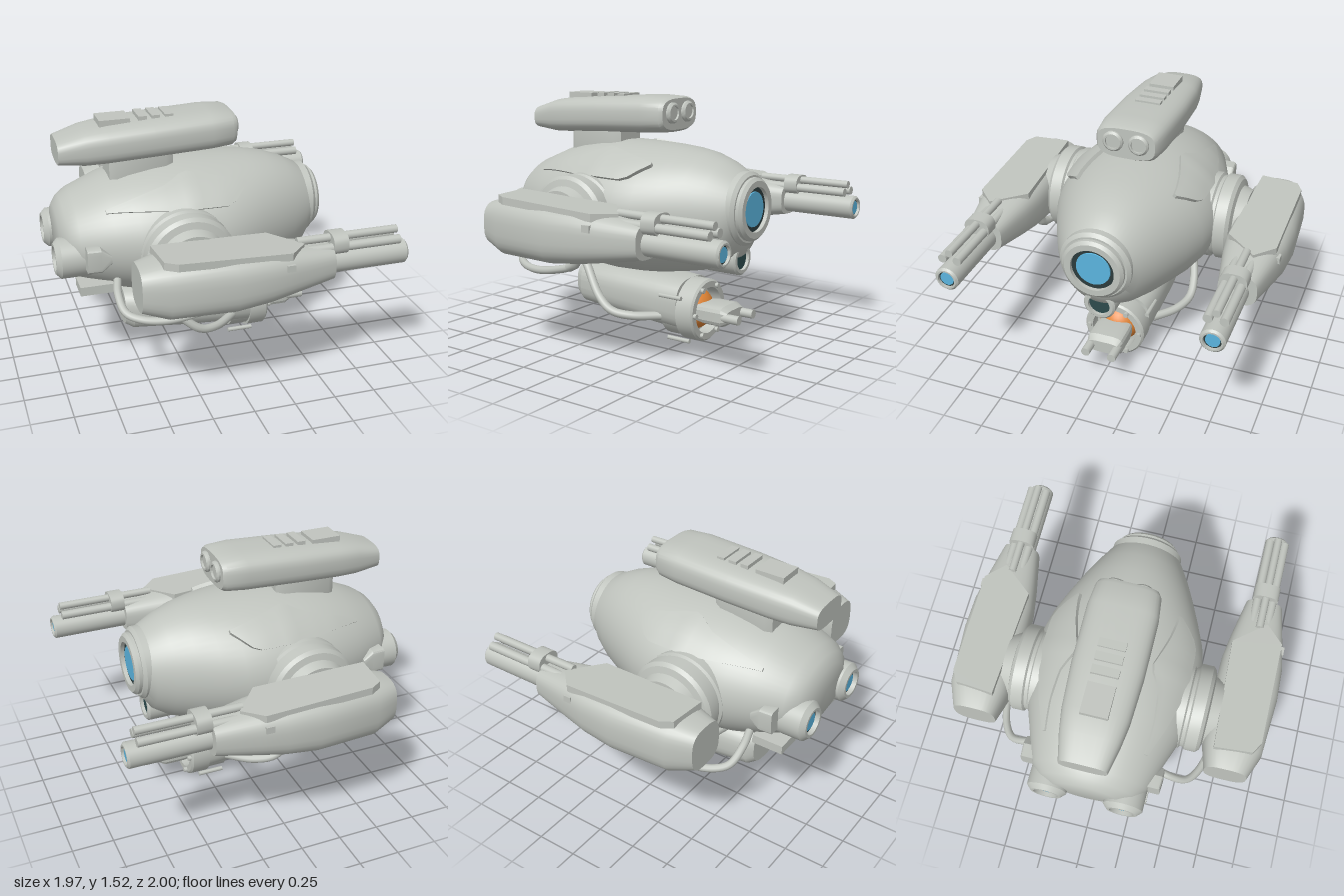
import * as THREE from 'three';
import { toCreasedNormals } from 'three/addons/utils/BufferGeometryUtils.js';

const mat = (name, color) => Object.assign(new THREE.MeshStandardMaterial({ color }), { name });
const { PI, cos, sin, sign, abs, pow } = Math;

// Hull stations: x, top, bottom, half width
const HULL = [
  [-0.94, 1.0, 0.70, 0.20], [-0.9, 1.05, 0.62, 0.29], [-0.84, 1.09, 0.57, 0.35], [-0.65, 1.17, 0.49, 0.42],
  [-0.5, 1.21, 0.455, 0.475], [-0.35, 1.235, 0.435, 0.505], [-0.18, 1.25, 0.425, 0.52], [0, 1.245, 0.43, 0.51],
  [0.12, 1.24, 0.44, 0.48], [0.25, 1.23, 0.46, 0.425], [0.38, 1.21, 0.485, 0.365], [0.5, 1.17, 0.525, 0.305],
  [0.6, 1.12, 0.59, 0.245], [0.66, 1.07, 0.70, 0.20]];

// Linear interpolation in a table whose first column is x
function sample(table, x) {
  let i = 0;
  while (i < table.length - 2 && x > table[i + 1][0]) i++;
  const a = table[i], b = table[i + 1], t = (x - a[0]) / (b[0] - a[0]);
  return a.map((v, k) => v + (b[k] - v) * t);
}

// Skin over closed rings of [x, y, z], with flat end caps
function loft(rings, crease = 0.6) {
  const n = rings[0].length, pos = rings.flat(2), idx = [];
  for (let i = 0; i < rings.length - 1; i++) for (let j = 0; j < n; j++) {
    const a = i * n + j, c = i * n + (j + 1) % n;
    idx.push(a, c, a + n, c, c + n, a + n);
  }
  for (const [ring, flip] of [[rings[0], true], [rings[rings.length - 1], false]]) {
    const base = pos.length / 3;
    pos.push(...ring.flat());
    pos.push(...[0, 1, 2].map(k => ring.reduce((s, p) => s + p[k], 0) / n));
    for (let j = 0; j < n; j++) {
      const a = base + j, b = base + (j + 1) % n;
      idx.push(base + n, flip ? b : a, flip ? a : b);
    }
  }
  const g = new THREE.BufferGeometry();
  g.setAttribute('position', new THREE.Float32BufferAttribute(pos, 3));
  g.setIndex(idx);
  return toCreasedNormals(g, crease);
}

// Superellipse ring: exponent 2 is round, higher is boxier
function ovalRing([x, top, bot, hw, zc = 0], power, n) {
  return Array.from({ length: n }, (_, j) => {
    const a = (j + 0.5) / n * 2 * PI, f = v => sign(v) * pow(abs(v), 2 / power);
    return [x, (top + bot) / 2 + f(cos(a)) * (top - bot) / 2, zc + f(sin(a)) * hw];
  });
}
const pod = (stations, power, n, crease) => loft(stations.map(s => ovalRing(s, power, n)), crease);

// Cylinder and hollow ring lying along x
const cylX = (r0, r1, x0, x1, y, z, seg = 32) =>
  new THREE.CylinderGeometry(r1, r0, x1 - x0, seg).rotateZ(-PI / 2).translate((x0 + x1) / 2, y, z);
function ringX(rin, rout, x0, x1, y, z, bevel = 0.012) {
  const p = [[rin, x0], [rout, x0], [rout, x1 - bevel], [rout - bevel, x1], [rin, x1], [rin, x0]];
  const g = new THREE.LatheGeometry(p.map(q => new THREE.Vector2(...q)), 40);
  return toCreasedNormals(g.rotateZ(-PI / 2), 0.5).translate(0, y, z);
}
const box = (x0, x1, y0, y1, z0, z1) => new THREE.BoxGeometry(x1 - x0, y1 - y0, abs(z1 - z0))
  .translate((x0 + x1) / 2, (y0 + y1) / 2, (z0 + z1) / 2);
const hose = (pts, r) => new THREE.TubeGeometry(
  new THREE.CatmullRomCurve3(pts.map(p => new THREE.Vector3(...p))), 40, r, 10);

// Raised arrow plate that follows the hull; s is the side
function hullPlate(s) {
  // x, upper angle, lower angle, height
  const plan = [[-0.68, 0.8, 0.86, 0.012], [-0.32, 0.6, 0.98, 0.016], [-0.2, 0.43, 1.0, 0.022],
    [0.05, 0.61, 1.01, 0.024], [0.17, 0.70, 0.74, 0.024]];
  const rings = [];
  for (let i = 0; i <= 17; i++) {
    const x = -0.68 + i * 0.05, [, a0, a1, h] = sample(plan, x), [, top, bot, hw] = sample(HULL, x);
    const at = (k, off) => {
      const a = a0 + (a1 - a0) * k / 5;
      return [x, (top + bot) / 2 + cos(a) * ((top - bot) / 2 + off), s * sin(a) * (hw + off)];
    };
    const ring = [];
    for (let k = 0; k <= 5; k++) ring.push(at(k, h));
    for (let k = 5; k >= 0; k--) ring.push(at(k, -0.02));
    rings.push(s > 0 ? ring : ring.reverse());
  }
  return loft(rings, 0.5);
}

export function createModel() {
  const model = new THREE.Group();
  model.name = 'hoveringGunDrone';
  const grey = mat('hullGrey', 0xc0c4be), blue = mat('lensBlue', 0x5ab4de);
  const dark = mat('lensRim', 0x2b3b3c), teal = mat('darkLens', 0x2c4a4c), orange = mat('sensorOrange', 0xe08435);
  const add = (name, g, m = grey) => {
    const mesh = new THREE.Mesh(g, m);
    mesh.name = name;
    model.add(mesh);
    return mesh;
  };

  add('hull', pod(HULL, 2, 56, 0.7));

  // Main eye
  add('eyeOuterRing', ringX(0.13, 0.222, 0.56, 0.672, 0.89, 0, 0.02));
  add('eyeInnerRing', ringX(0.135, 0.19, 0.6, 0.71, 0.89, 0, 0.018));
  add('eyeRim', cylX(0.14, 0.14, 0.6, 0.685, 0.89, 0), dark);
  add('eyeLens', cylX(0.112, 0.105, 0.66, 0.692, 0.89, 0), blue);
  // Small lower eye
  add('lowerEyeRing', ringX(0.068, 0.1, 0.4, 0.62, 0.58, 0));
  add('lowerEyeLens', cylX(0.07, 0.07, 0.45, 0.6, 0.58, 0), teal);

  // Upper launcher pod
  add('launcherPedestal', pod([[-0.61, 1.33, 1.12, 0.1], [-0.57, 1.34, 1.12, 0.125],
    [-0.27, 1.35, 1.12, 0.125], [-0.22, 1.35, 1.12, 0.1]], 6, 24));
  add('launcherPod', pod([[-0.91, 1.43, 1.285, 0.14], [-0.75, 1.48, 1.27, 0.175], [-0.62, 1.498, 1.275, 0.195],
    [-0.35, 1.517, 1.29, 0.21], [0, 1.535, 1.305, 0.21], [0.13, 1.53, 1.315, 0.195], [0.155, 1.52, 1.33, 0.18]], 3.2, 32, 0.5));
  add('launcherVentPlate', box(-0.655, -0.47, 1.49, 1.53, -0.08, 0.08));
  for (const x of [-0.42, -0.34, -0.26]) add('launcherSlat', box(x, x + 0.05, 1.49, 1.535, -0.08, 0.08));

  // Lower turret pod
  add('turretPod', pod([[-0.55, 0.42, 0.18, 0.15], [-0.5, 0.43, 0.15, 0.18], [-0.2, 0.43, 0.125, 0.2],
    [0.1, 0.425, 0.1, 0.2], [0.26, 0.415, 0.085, 0.19]], 2.8, 32, 0.5));
  add('turretCollar', cylX(0.18, 0.18, 0.14, 0.3, 0.22, 0));
  add('turretRing', ringX(0.145, 0.195, 0.26, 0.38, 0.22, 0));
  add('turretSensor', new THREE.SphereGeometry(0.135, 32, 20).translate(0.26, 0.22, 0), orange);
  for (let i = 0; i < 6; i++) {
    const a = (i + 0.5) / 6 * 2 * PI;
    add('ringClip', cylX(0.016, 0.016, 0.34, 0.4, 0.22 + cos(a) * 0.165, sin(a) * 0.165, 10));
  }
  for (const a of [PI / 2 - 0.5, PI * 0.86, PI * 1.14, PI * 1.5 + 0.5]) {
    add('ringBar', cylX(0.014, 0.014, 0.14, 0.3, 0.22 + cos(a) * 0.215, sin(a) * 0.215, 8));
  }
  add('turretGunBlock', pod([[0.3, 0.27, 0.17, 0.1], [0.4, 0.285, 0.155, 0.115],
    [0.53, 0.285, 0.155, 0.115], [0.57, 0.26, 0.18, 0.1]], 4, 16, 0.4));

  for (const s of [1, -1]) {
    add('hullPlate', hullPlate(s));
    add('launcherTube', ringX(0.042, 0.064, 0.1, 0.178, 1.435, s * 0.08));
    add('launcherTubeCore', cylX(0.045, 0.045, 0.1, 0.165, 1.435, s * 0.08));
    add('turretBarrel', cylX(0.028, 0.028, 0.5, 0.65, 0.22, s * 0.085, 16));

    // Rear lamps and side details
    add('rearLampHousing', ringX(0.075, 0.122, 0, 0.22, 0, 0, 0.03).rotateY(PI).translate(-0.765, 0.77, s * 0.235));
    add('rearLampRim', cylX(0.08, 0.08, -0.955, -0.8, 0.77, s * 0.235), dark);
    add('rearLampLens', cylX(0.058, 0.058, -0.962, -0.9, 0.77, s * 0.235), blue);
    add('sideBlock', pod([[-0.82, 0.88, 0.73, 0.05, s * 0.38], [-0.74, 0.88, 0.73, 0.05, s * 0.385],
      [-0.68, 0.83, 0.78, 0.035, s * 0.395]], 6, 16, 0.4));
    add('rearLowerFin', box(-0.86, -0.66, 0.565, 0.62, s * 0.2, s * 0.36));

    // Shoulder joint, turned to lie along z
    const joint = [[0.27, 0.3], [0.27, 0.47], [0.255, 0.48], [0.255, 0.5], [0.27, 0.51], [0.27, 0.58],
      [0.25, 0.6], [0.21, 0.61], [0.19, 0.67], [0, 0.67]].map(p => new THREE.Vector2(...p));
    add('shoulderJoint', toCreasedNormals(new THREE.LatheGeometry(joint, 48).rotateX(s * PI / 2), 0.5)
      .translate(-0.25, 0.81, 0));

    // Arm gun pod
    add('armPod', pod([[-0.62, 0.93, 0.67, 0.13, s * 0.785], [-0.47, 0.97, 0.625, 0.18, s * 0.795],
      [-0.1, 0.97, 0.625, 0.197, s * 0.803], [0.1, 0.965, 0.65, 0.19, s * 0.802],
      [0.25, 0.95, 0.675, 0.165, s * 0.8], [0.5, 0.915, 0.72, 0.115, s * 0.8]], 3, 32, 0.5));
    const outline = [[-0.52, 0.68], [0.17, 0.65], [0.33, 0.84], [0.22, 0.95], [-0.43, 0.95], [-0.5, 0.91]];
    const plate = new THREE.Shape(outline.map(([x, z]) => new THREE.Vector2(x, -s * z)));
    add('armTopPlate', new THREE.ExtrudeGeometry(plate, { depth: 0.045, bevelEnabled: false })
      .rotateX(-PI / 2).rotateZ(-0.04).translate(0, 0.925, 0));
    add('armSideLatch', box(0.18, 0.23, 0.86, 0.9, s * 0.92, s * 0.975));

    // Barrel cluster
    const z = s * 0.795;
    add('mainBarrel', ringX(0.052, 0.074, 0.4, 0.98, 0.81, z));
    add('barrelRim', cylX(0.055, 0.055, 0.8, 0.962, 0.81, z), dark);
    add('barrelLens', cylX(0.042, 0.042, 0.9, 0.968, 0.81, z), blue);
    for (const [y, dz, r] of [[0.953, 0, 0.024], [0.908, 0.047, 0.027], [0.908, -0.047, 0.027]]) {
      add('upperBarrel', cylX(r, r, 0.3, 0.92, y, z + dz, 16));
    }
    add('barrelCollar', pod([[0.5, 0.985, 0.86, 0.08, z], [0.59, 0.985, 0.86, 0.08, z]], 2.6, 28));

    // Hoses
    add('armHose', hose([[-0.08, 0.63, s * 0.71], [-0.12, 0.575, s * 0.7], [-0.25, 0.53, s * 0.69],
      [-0.42, 0.5, s * 0.67], [-0.56, 0.505, s * 0.63], [-0.64, 0.53, s * 0.57], [-0.66, 0.6, s * 0.46],
      [-0.64, 0.64, s * 0.36]], 0.024));
    add('armHoseCuff', hose([[-0.08, 0.62, s * 0.71], [-0.1, 0.59, s * 0.705], [-0.15, 0.562, s * 0.697]], 0.031));
    add('turretHose', hose([[-0.42, 0.52, s * 0.26], [-0.36, 0.46, s * 0.28], [-0.22, 0.29, s * 0.335],
      [-0.12, 0.215, s * 0.34], [0, 0.19, s * 0.29], [0.14, 0.185, s * 0.17]], 0.027));
  }
  return model;
}
